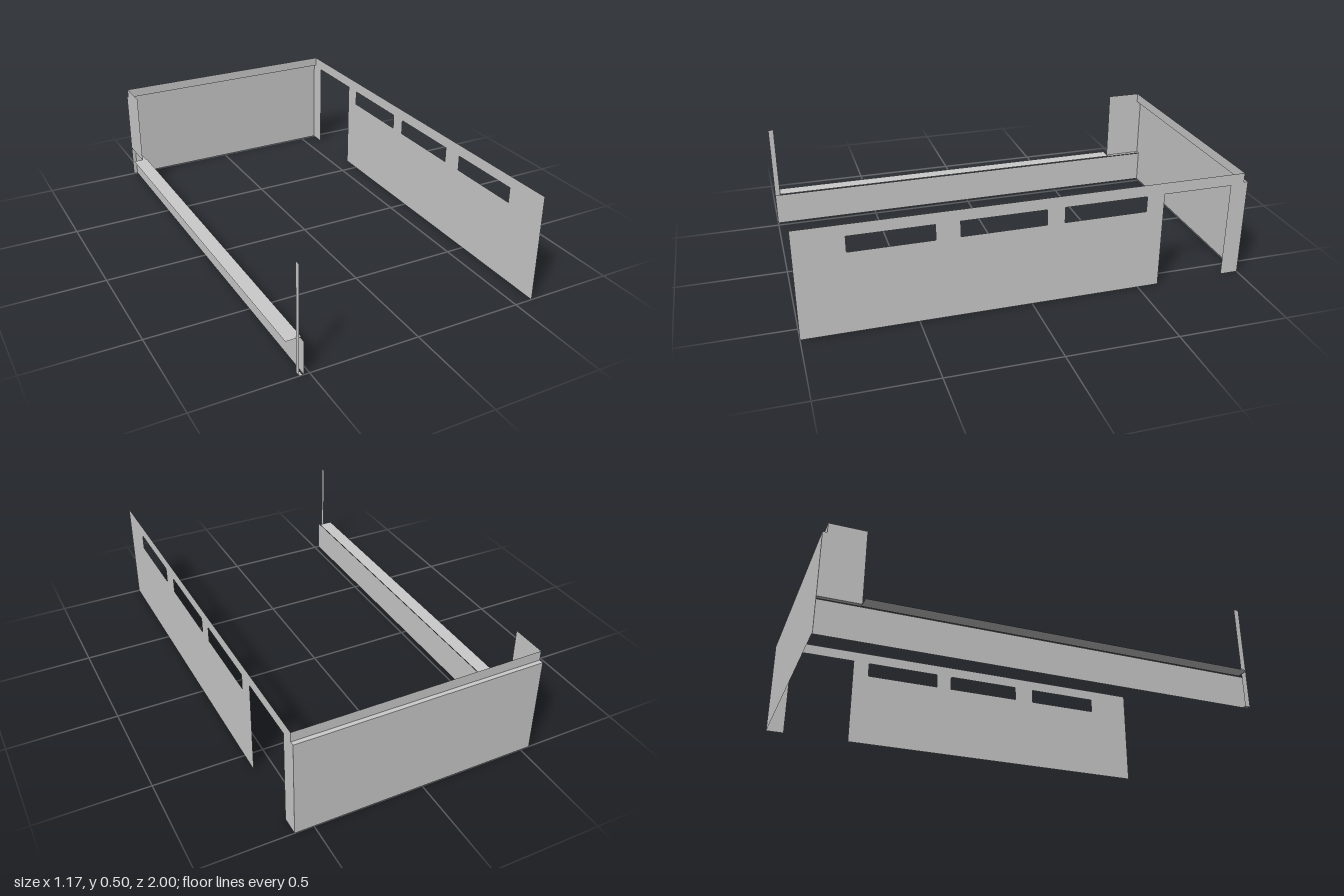
import * as THREE from 'three';

const material = new THREE.MeshStandardMaterial({ color: 0xcccccc, flatShading: true, side: THREE.DoubleSide });

export function createModel() {
  const model = new THREE.Group();
  const left = -0.545, inner = -0.525, right = 0.585;
  const back = -1, front = 1, step = -0.98, stepY = 0.455, top = 0.5, sillY = 0.157;

  function add(name, geometry) {
    const mesh = new THREE.Mesh(geometry, material);
    mesh.name = name;
    model.add(mesh);
  }

  const outline = (points) => points.map(([a, b]) => new THREE.Vector2(a, b));
  const rect = (a0, b0, a1, b1) => [[a0, b0], [a1, b0], [a1, b1], [a0, b1]];

  // Thin sheet in a plane of constant x, drawn in (z, y)
  function sideSheet(name, x, points, holes = []) {
    const shape = new THREE.Shape(outline(points));
    for (const h of holes) shape.holes.push(new THREE.Path(outline(h)));
    add(name, new THREE.ShapeGeometry(shape).rotateY(-Math.PI / 2).translate(x, 0, 0));
  }

  // Thin sheet facing front, drawn in (x, y)
  function frontSheet(name, z, x0, y0, x1, y1) {
    add(name, new THREE.PlaneGeometry(x1 - x0, y1 - y0).translate((x0 + x1) / 2, (y0 + y1) / 2, z));
  }

  // Thin level sheet, drawn in (x, z)
  function levelSheet(name, y, x0, z0, x1, z1) {
    add(name, new THREE.PlaneGeometry(x1 - x0, z1 - z0).rotateX(-Math.PI / 2)
      .translate((x0 + x1) / 2, y, (z0 + z1) / 2));
  }

  // Long wall with three windows, a doorway and a stepped rear corner
  const windows = [[0.42, 0.785], [-0.06, 0.315], [-0.515, -0.14]]
    .map(([z0, z1]) => rect(z0, 0.375, z1, 0.446));
  sideSheet('windowWall', right, [
    [front, 0], [front, top], [step, top], [step, stepY], [back, stepY], [back, 0],
    [-0.916, 0], [-0.916, 0.447], [-0.597, 0.447], [-0.597, 0],
  ], windows);

  // Back wall, set in above a narrow shelf
  frontSheet('backWall', back, left, 0, right, stepY);
  frontSheet('backWallUpper', step, left, stepY, right, top);
  levelSheet('backWallShelf', stepY, left, back, right, step);

  // Low wall under the wide opening
  sideSheet('lowWall', inner, rect(back, 0, front, 0.155));
  levelSheet('windowLedge', 0.16, -0.59, -0.815, -0.522, 0.975);

  // Full-height parts at both ends of the opening
  sideSheet('rearPier', left, [
    [back, sillY], [-0.815, sillY], [-0.815, top], [step, top], [step, stepY], [back, stepY],
  ]);
  levelSheet('rearPierSill', sillY, left, back, inner, -0.815);
  sideSheet('frontPost', left, rect(0.975, 0, front, top));
  levelSheet('frontPostFoot', 0, left, 0.975, -0.53, front);

  return model;
}
